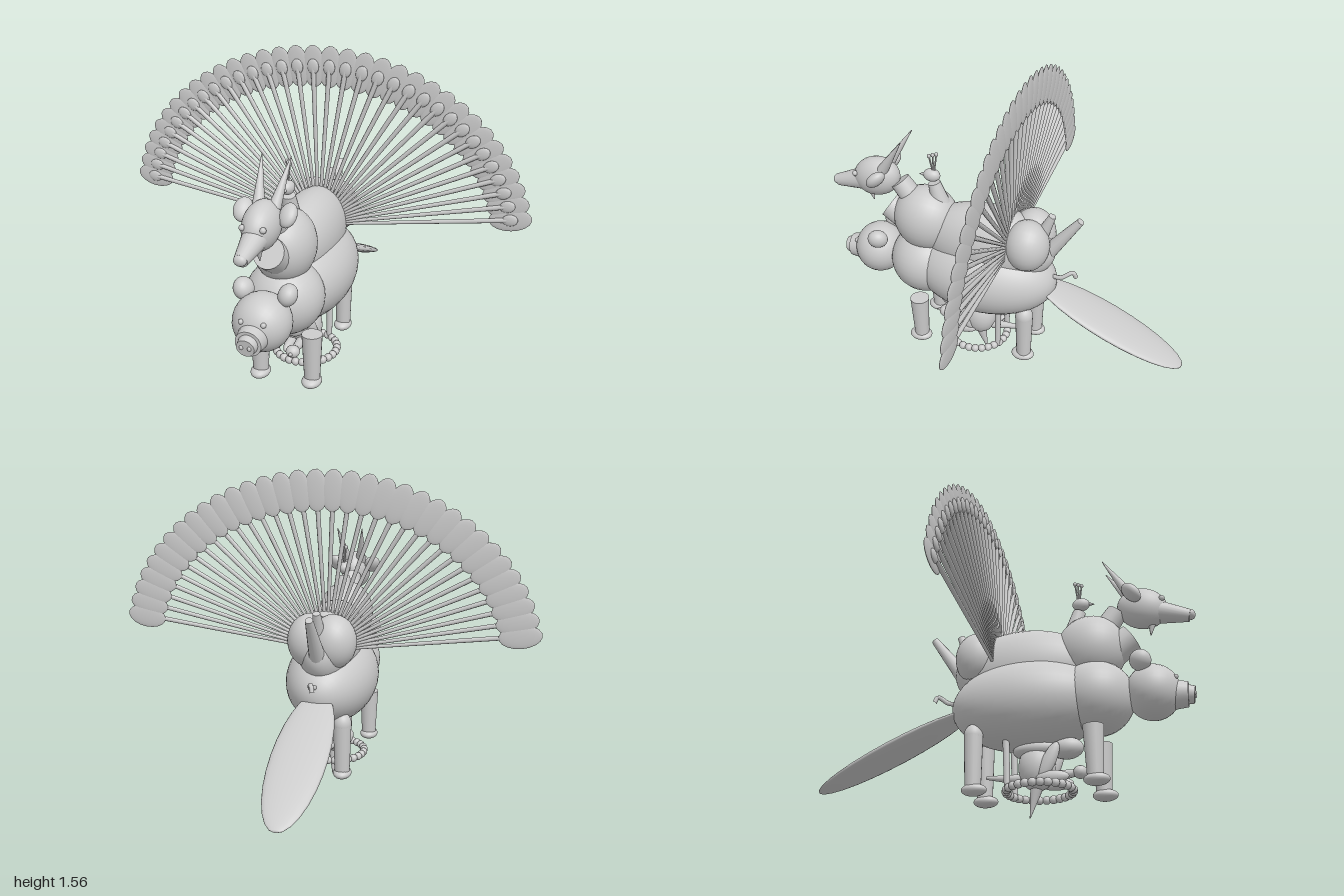
import * as THREE from 'three';

const material = new THREE.MeshStandardMaterial({ color: 0xcccccc });
const V = (x, y, z) => new THREE.Vector3(x, y, z);

export function createModel() {
  const model = new THREE.Group();

  const add = (name, geometry, parent = model) => {
    const mesh = new THREE.Mesh(geometry, material);
    mesh.name = name;
    parent.add(mesh);
    return mesh;
  };
  // Ellipsoid with its poles along z
  const blob = (name, pos, rad, tiltX = 0, tiltZ = 0, seg = 24, parent = model) => {
    const g = new THREE.SphereGeometry(1, seg, Math.round(seg * 0.7)).rotateX(Math.PI / 2);
    const mesh = add(name, g.scale(...rad), parent);
    mesh.position.set(...pos);
    mesh.rotation.set(tiltX, 0, tiltZ);
    return mesh;
  };
  // Tapered rod from a to b
  const rod = (name, a, b, ra, rb, seg = 14, parent = model) => {
    const from = V(...a), to = V(...b), dir = to.clone().sub(from);
    const mesh = add(name, new THREE.CylinderGeometry(rb, ra, dir.length(), seg), parent);
    mesh.position.copy(from).add(to).multiplyScalar(0.5);
    mesh.quaternion.setFromUnitVectors(V(0, 1, 0), dir.normalize());
    return mesh;
  };

  // Lower animal: body, shoulders, head and snout
  blob('lowerBody', [0, 0.53, 0.12], [0.222, 0.215, 0.37], 0, 0, 36);
  blob('lowerShoulders', [0, 0.535, 0.43], [0.18, 0.175, 0.18], 0, 0, 32);
  blob('lowerHead', [0, 0.54, 0.69], [0.13, 0.13, 0.125], 0, 0, 28);
  rod('snout', [0, 0.52, 0.77], [0, 0.515, 0.845], 0.07, 0.058, 24);
  rod('snoutTip', [0, 0.515, 0.84], [0, 0.51, 0.872], 0.045, 0.04, 20);

  // Upper animal: body, shoulders and open necks
  blob('upperBody', [0, 0.71, 0.1], [0.15, 0.2, 0.34], 0, 0, 32);
  blob('upperShoulders', [0, 0.78, 0.42], [0.14, 0.17, 0.165], 0, 0, 28);
  rod('lowerNeck', [0, 0.74, 0.49], [0, 0.82, 0.61], 0.075, 0.07, 20);
  rod('upperNeck', [0, 0.87, 0.48], [0, 0.965, 0.55], 0.055, 0.05, 20);
  rod('backNeck', [0, 0.88, 0.34], [0, 0.99, 0.37], 0.045, 0.03, 18);

  // Horned head
  blob('hornedHead', [0, 0.97, 0.67], [0.078, 0.1, 0.12], 0.3, 0, 28);
  rod('muzzle', [0, 0.945, 0.73], [0, 0.905, 0.885], 0.058, 0.03, 20);
  blob('nose', [0, 0.91, 0.89], [0.028, 0.024, 0.02]);
  rod('beard', [0, 0.89, 0.71], [0, 0.825, 0.7], 0.02, 0.002);

  // Bird head with a crest
  blob('birdHead', [0, 1.03, 0.38], [0.03, 0.032, 0.042]);
  rod('birdBeak', [0, 1.03, 0.41], [0, 1.025, 0.445], 0.013, 0.001);
  for (const i of [-1, 0, 1]) {
    const top = [i * 0.012, 1.14, 0.37 + i * 0.014];
    rod('crestStem', [0, 1.05, 0.37 + i * 0.004], top, 0.004, 0.004, 8);
    blob('crestBall', top, [0.009, 0.011, 0.009], 0, 0, 10);
  }

  // Paired parts
  for (const s of [-1, 1]) {
    blob('lowerEar', [s * 0.1, 0.66, 0.65], [0.042, 0.05, 0.05], 0.5, -s * 0.5);
    blob('nostril', [s * 0.018, 0.512, 0.872], [0.009, 0.011, 0.008], 0, 0, 10);
    blob('lowerEye', [s * 0.05, 0.585, 0.797], [0.012, 0.012, 0.012], 0, 0, 10);
    blob('upperEar', [s * 0.098, 1.01, 0.63], [0.042, 0.03, 0.055], 0.8, s * 0.4);
    blob('upperEye', [s * 0.045, 0.99, 0.765], [0.014, 0.014, 0.014], 0, 0, 10);
    rod('horn', [s * 0.035, 1.03, 0.62], [s * 0.065, 1.215, 0.5], 0.028, 0.002);
    blob('haunch', [s * 0.055, 0.77, -0.115], [0.11, 0.13, 0.108]);
    // Legs and feet
    rod('frontLeg', [s * 0.127, 0.36, 0.43], [s * 0.127, 0.12, 0.43], 0.048, 0.036, 20);
    blob('frontFoot', [s * 0.127, 0.118, 0.435], [0.046, 0.027, 0.058]);
    rod('hindLeg', [s * 0.1, 0.37, -0.12], [s * 0.1, 0.12, -0.12], 0.044, 0.036, 20);
    blob('thigh', [s * 0.1, 0.37, -0.12], [0.044, 0.055, 0.044]);
    blob('hindFoot', [s * 0.1, 0.118, -0.115], [0.044, 0.027, 0.058]);
  }

  // Tails: two spikes, a curl and a flat blade
  rod('shortTail', [0, 0.78, -0.16], [0, 0.925, -0.22], 0.035, 0.018);
  rod('longTail', [0, 0.71, -0.2], [0, 0.925, -0.355], 0.04, 0.018);
  const curl = new THREE.CatmullRomCurve3([
    V(0, 0.575, -0.22), V(0.015, 0.59, -0.28), V(0, 0.62, -0.33), V(-0.01, 0.59, -0.345)]);
  add('curlyTail', new THREE.TubeGeometry(curl, 20, 0.011, 8));
  blob('bladeTail', [0, 0.36, -0.53], [0.13, 0.026, 0.415], -0.43, 0, 20);

  // Feather fan on an elliptical arc
  const fan = new THREE.Group();
  fan.name = 'featherFan';
  model.add(fan);
  const feathers = 34, start = 0.171;
  for (let i = 0; i < feathers; i++) {
    const t = start + (Math.PI - 2 * start) * i / (feathers - 1);
    const x = 0.915 * Math.cos(t), y = 0.7 + 0.762 * Math.sin(t);
    const turn = Math.atan2(y - 0.7, x) - Math.PI / 2;
    rod('quill', [0, 0.7, -0.02], [x, y, -0.055], 0.007, 0.012, 8, fan);
    blob('vane', [x, y, -0.062], [0.056, 0.098, 0.008], 0, turn, 18, fan);
    blob('eyespot', [x, y, -0.053], [0.028, 0.036, 0.01], 0, turn, 14, fan);
  }

  // Small bird under the belly
  const bird = new THREE.Group();
  bird.name = 'hangingBird';
  model.add(bird);
  const part = (name, pos, rad, tilt = 0) => blob(name, pos, rad, tilt, 0, 20, bird);
  part('birdBody', [0, 0.23, 0.15], [0.075, 0.11, 0.085]);
  part('birdBreast', [0, 0.31, 0.29], [0.055, 0.05, 0.075]);
  part('birdBack', [0, 0.31, 0.15], [0.07, 0.045, 0.11]);
  part('smallHead', [0, 0.195, 0.345], [0.034, 0.03, 0.032]);
  rod('smallBeak', [0, 0.195, 0.37], [0, 0.195, 0.395], 0.012, 0.001, 10, bird);
  rod('smallNeck', [0, 0.195, 0.34], [0, 0.18, 0.2], 0.015, 0.03, 12, bird);
  rod('smallTail', [0, 0.18, 0.08], [0, 0.2, -0.085], 0.025, 0.008, 12, bird);
  rod('spike', [0, 0.13, 0.145], [0, 0.002, 0.115], 0.028, 0.002, 14, bird);
  for (const s of [-1, 1]) {
    blob('wing', [s * 0.055, 0.24, 0.215], [0.022, 0.095, 0.032], 0.45, 0, 18, bird);
    blob('birdFoot', [s * 0.055, 0.165, 0.23], [0.025, 0.03, 0.075], 0, 0, 18, bird);
    rod('post', [s * 0.075, 0.35, 0.025], [s * 0.075, 0.11, 0.03], 0.016, 0.014, 12, bird);
  }

  // Bead ring
  const beads = 28;
  for (let i = 0; i < beads; i++) {
    const a = i / beads * Math.PI * 2;
    blob('bead', [0.15 * Math.cos(a), 0.12, 0.16 + 0.15 * Math.sin(a)],
      [0.02, 0.02, 0.02], 0, 0, 12, bird);
  }
  return model;
}
